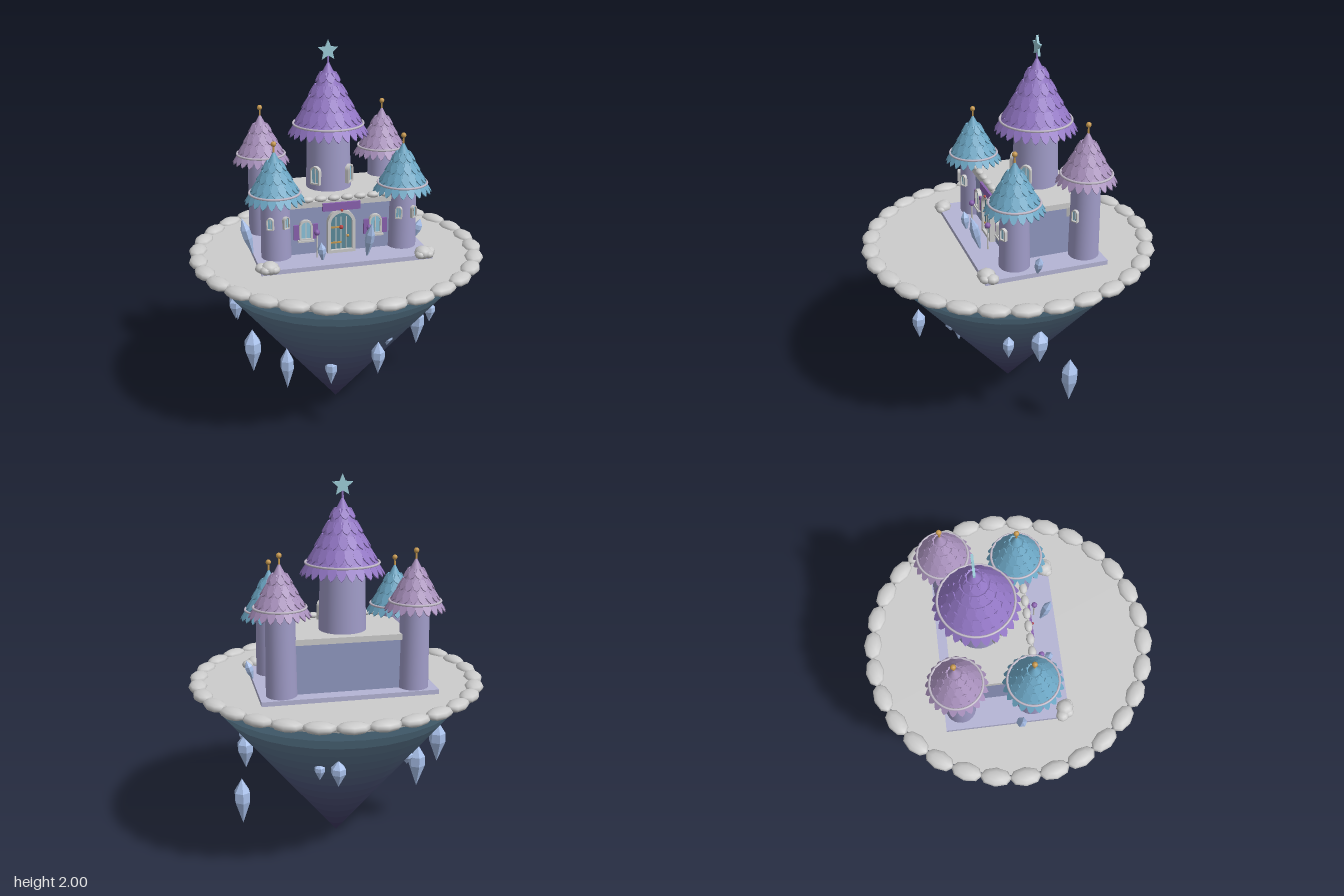
import * as THREE from 'three';
import { mergeGeometries } from 'three/addons/utils/BufferGeometryUtils.js';

const mat = (color, extra = {}) => new THREE.MeshStandardMaterial({ color, ...extra });
const GREY = mat(0xcccccc), WALL = mat(0xa09cc8), HALL = mat(0x9098c0), BASE = mat(0xb4b4d4);
const GLASS = mat(0x8cc4dc), TEAL = mat(0x6ca6c4), LILAC = mat(0xa890bc), VIOLET = mat(0x9276c4);
const GOLD = mat(0xc89a50), PURPLE = mat(0x8a62b0), RED = mat(0xc04848), WOOD = mat(0x5c8c9c);
const TRIM = mat(0xc4bccc), CRYSTAL = mat(0xa8c0ea, { flatShading: true }), STAR = mat(0x9cccd8);

export function createModel() {
  const model = new THREE.Group();
  const add = (name, geo, material, x = 0, y = 0, z = 0, parent = model) => {
    const m = new THREE.Mesh(geo, material);
    m.name = name;
    m.position.set(x, y, z);
    parent.add(m);
    return m;
  };
  const group = (name, x, y, z, ry = 0, parent = model) => {
    const g = new THREE.Group();
    g.name = name;
    g.position.set(x, y, z);
    g.rotation.y = ry;
    parent.add(g);
    return g;
  };
  const box = (w, h, d) => new THREE.BoxGeometry(w, h, d);
  const ball = (r, a = 10, b = 7) => new THREE.SphereGeometry(r, a, b);

  // Floating island: an inverted cone shaded from blue down to dark violet
  const H = 0.88, R = 0.714, bands = 14;
  const stops = [0x3c3660, 0x50587e, 0x5c7890, 0x80b0cc].map(c => new THREE.Color(c));
  const at = [0, 0.45, 0.82, 1];
  for (let i = 0; i < bands; i++) {
    const t = (i + 0.5) / bands, k = t < at[1] ? 0 : t < at[2] ? 1 : 2;
    const color = stops[k].clone().lerp(stops[k + 1], (t - at[k]) / (at[k + 1] - at[k]));
    const a = i / bands, b = (i + 1) / bands;
    const band = new THREE.CylinderGeometry(R * b, R * a, H / bands, 32, 1, true);
    add('islandRock', band, mat(color), 0, H * (a + b) / 2, 0);
  }
  add('islandGround', new THREE.CylinderGeometry(0.725, 0.714, 0.035, 32), GREY, 0, 0.897, 0);

  // Ring of stones round the rim
  for (let i = 0; i < 30; i++) {
    const a = i * Math.PI / 15;
    const s = add('rimStone', ball(1, 8, 6), GREY, 0.735 * Math.cos(a), 0.912, 0.735 * Math.sin(a));
    s.scale.set(0.05, 0.029, 0.084);
    s.rotation.y = -a;
  }

  // Platform and hall
  add('platform', box(0.904, 0.025, 0.65), BASE, 0, 0.926, -0.055);
  add('hall', box(0.6, 0.27, 0.4), HALL, 0, 1.07, -0.105);
  add('hallRoof', box(0.628, 0.03, 0.43), GREY, 0, 1.21, -0.105);
  for (let i = 0; i < 8; i++)
    add('parapetStone', ball(1, 8, 6), GREY, -0.245 + 0.07 * i, 1.236, 0.1).scale.set(0.034, 0.017, 0.022);

  // Arched outline standing on y = 0
  const arch = (w, h, C = THREE.Shape) => {
    const s = new C();
    s.moveTo(-w / 2, 0);
    s.lineTo(w / 2, 0);
    s.lineTo(w / 2, h - w / 2);
    s.absarc(0, h - w / 2, w / 2, 0, Math.PI, false);
    s.lineTo(-w / 2, 0);
    return s;
  };
  const extrude = (s, depth) => new THREE.ExtrudeGeometry(s, { depth, bevelEnabled: false, curveSegments: 8 });
  const archedFrame = (w, h, t, depth) => {
    const s = arch(w, h);
    const hole = arch(w - 2 * t, h - 2 * t, THREE.Path);
    s.holes.push(new THREE.Path(hole.getPoints(8).map(p => p.add(new THREE.Vector2(0, t)))));
    return extrude(s, depth);
  };
  const addWindow = (parent, w, h) => {
    add('windowGlass', extrude(arch(w * 0.9, h * 0.95), 0.012), GLASS, 0, h * 0.02, -0.006, parent);
    add('windowFrame', archedFrame(w, h, w * 0.14, 0.022), GREY, 0, 0, -0.006, parent);
    add('windowBar', box(w * 0.07, h * 0.9, 0.014), GREY, 0, h * 0.48, 0.003, parent);
  };

  // Door with planks, hinges, knob, gem and a panel above
  const door = group('door', 0, 0.938, 0.095);
  add('doorLeaf', extrude(arch(0.13, 0.22), 0.014), WOOD, 0, 0, 0, door);
  add('doorFrame', archedFrame(0.15, 0.236, 0.017, 0.03), GREY, 0, 0, 0, door);
  for (let i = -1; i <= 1; i++) add('plankSeam', box(0.005, 0.19, 0.006), GREY, i * 0.028, 0.1, 0.014, door);
  for (const y of [0.055, 0.14]) add('doorHinge', box(0.06, 0.008, 0.006), GOLD, -0.028, y, 0.018, door);
  add('doorKnob', ball(0.008), GOLD, 0.035, 0.09, 0.022, door);
  add('doorGem', ball(0.012, 6, 4), RED, 0, 0.14, 0.022, door);
  add('doorPanel', box(0.2, 0.042, 0.02), PURPLE, 0, 0.255, 0.018, door);
  add('panelGem', ball(0.008, 6, 4), RED, 0, 0.235, 0.032, door);

  // Shuttered hall windows and lamp posts
  for (const s of [-1, 1]) {
    const w = group('hallWindow', s * 0.187, 1.02, 0.1);
    addWindow(w, 0.07, 0.11);
    for (const k of [-1, 1]) add('shutter', box(0.027, 0.08, 0.012), PURPLE, k * 0.05, 0.045, 0.006, w);
    add('windowSill', box(0.085, 0.01, 0.025), GREY, 0, -0.003, 0.01, w);
    const lamp = group('lampPost', s * 0.14, 0.938, 0.158);
    add('post', new THREE.CylinderGeometry(0.004, 0.005, 0.13, 6), GREY, 0, 0.065, 0, lamp);
    add('lampGlobe', ball(0.016, 8, 6), PURPLE, 0, 0.138, 0, lamp);
  }

  // Roof: a cone hung with rows of pointed shingles
  const addRoof = (parent, y, radius, h, L, width, rows, step, material) => {
    add('roofCone', new THREE.ConeGeometry(radius, h, 24), material, 0, y + h / 2, 0, parent);
    const s = new THREE.Shape();
    [[-0.5, 0], [-0.5, -0.5], [-0.3, -0.82], [0, -1], [0.3, -0.82], [0.5, -0.5], [0.5, 0]].forEach(
      ([a, b], i) => i ? s.lineTo(a * width, b * L) : s.moveTo(a * width, b * L));
    const tilt = Math.atan(radius / h) + 0.12, parts = [];
    for (let r = 0; r < rows; r++) {
      const up = step * (r + 0.65), rad = radius * (1 - up / h);
      const n = Math.max(6, Math.round(2 * Math.PI * (rad + L * 0.35) / width));
      const shrink = 1 - 0.09 * r;
      for (let i = 0; i < n; i++)
        parts.push(extrude(s, 0.006).scale(1, shrink, 1).rotateX(-tilt)
          .translate(0, y + up, rad).rotateY((i + (r % 2) / 2) * 2 * Math.PI / n));
    }
    add('roofShingles', mergeGeometries(parts), material, 0, 0, 0, parent);
    const ring = new THREE.TorusGeometry(radius * 1.0 + 0.004, 0.006, 6, 40).rotateX(Math.PI / 2);
    add('roofTrim', ring, TRIM, 0, y + step * 0.45, 0, parent);
  };

  // Corner towers: lower pair in front, taller pair behind
  const corners = [
    { z: 0.083, eave: 1.264, win: 1.11, roof: TEAL },
    { z: -0.292, eave: 1.366, win: 1.15, roof: LILAC },
  ];
  for (const c of corners) for (const s of [-1, 1]) {
    const t = group('cornerTower', s * 0.34, 0, c.z);
    const h = c.eave + 0.01 - 0.93;
    add('towerWall', new THREE.CylinderGeometry(0.073, 0.079, h, 24), WALL, 0, 0.93 + h / 2, 0, t);
    for (const k of [-1, 1]) {
      const a = k * 0.52;
      addWindow(group('towerWindow', 0.075 * Math.sin(a), c.win, 0.075 * Math.cos(a), a, t), 0.036, 0.065);
    }
    addRoof(t, c.eave, 0.125, 0.24, 0.075, 0.04, 4, 0.05, c.roof);
    add('finialRod', new THREE.CylinderGeometry(0.004, 0.006, 0.06, 6), GOLD, 0, c.eave + 0.245, 0, t);
    add('finialBall', ball(0.014), GOLD, 0, c.eave + 0.272, 0, t);
  }

  // Central keep with a star on top
  const keep = group('keep', 0, 0, -0.152);
  add('keepWall', new THREE.CylinderGeometry(0.113, 0.122, 0.34, 28), WALL, 0, 1.38, 0, keep);
  for (const k of [-1, 1]) {
    const a = k * 0.82;
    addWindow(group('keepWindow', 0.12 * Math.sin(a), 1.26, 0.12 * Math.cos(a), a, keep), 0.058, 0.1);
  }
  addRoof(keep, 1.54, 0.182, 0.355, 0.09, 0.047, 5, 0.063, VIOLET);
  add('starRod', new THREE.CylinderGeometry(0.005, 0.007, 0.05, 6), VIOLET, 0, 1.895, 0, keep);
  const star = new THREE.Shape();
  for (let i = 0; i < 10; i++) {
    const r = i % 2 ? 0.025 : 0.055, a = Math.PI / 2 + i * Math.PI / 5;
    i ? star.lineTo(r * Math.cos(a), r * Math.sin(a)) : star.moveTo(0, r);
  }
  add('star', extrude(star, 0.012), STAR, 0, 1.945, -0.006, keep);

  // Crystals: six-sided, pointed at both ends, from (x, z) between two heights
  const addCrystal = (name, x, z, y0, y1, r, leanX = 0, leanZ = 0) => {
    const h = (y1 - y0) / 2;
    const profile = [[0, -1], [1, 0.0], [1, 0.42], [0, 1]].map(([a, b]) => new THREE.Vector2(a * r, b * h));
    const m = add(name, new THREE.LatheGeometry(profile, 6), CRYSTAL, x, (y0 + y1) / 2, z);
    m.rotation.set(leanZ, 0, -leanX);
  };
  [[-0.52, -0.19, 0.455, 0.69, 0.045], [-0.54, -0.12, 0.5, 0.65, 0.034], [-0.47, 0, 0.225, 0.485, 0.047],
    [-0.32, 0.2, 0.215, 0.455, 0.037], [0.08, 0.53, 0.43, 0.61, 0.034], [0.175, 0.38, 0.5, 0.575, 0.03],
    [-0.095, 0.265, 0.24, 0.41, 0.033], [0.5, 0, 0.43, 0.63, 0.045], [0.49, 0.165, 0.49, 0.62, 0.03],
    [0.54, -0.155, 0.18, 0.44, 0.044], [0.1, -0.52, 0.52, 0.66, 0.038], [0.18, -0.45, 0.53, 0.63, 0.028],
    [-0.32, -0.285, 0.5, 0.58, 0.034],
  ].forEach(c => addCrystal('hangingCrystal', ...c));
  [[-0.475, 0.01, 0.91, 1.14, 0.027, -0.25, 0], [0.462, 0, 0.92, 1.04, 0.022, 0.3, 0],
    [0.122, 0.215, 0.91, 1.135, 0.024, 0.05, 0.25], [-0.125, 0.2, 0.92, 1.04, 0.022, -0.1, 0.1],
  ].forEach(c => addCrystal('groundCrystal', ...c));

  // Boulders at the front corners of the platform
  for (const s of [-1, 1])
    for (const [x, z, r] of [[0.405, 0.25, 0.046], [0.445, 0.232, 0.034], [0.385, 0.265, 0.03], [0.43, 0.265, 0.03]])
      add('boulder', ball(r, 8, 6), GREY, s * x, 0.93 + r * 0.35, z).scale.y = 0.75;

  return model;
}
